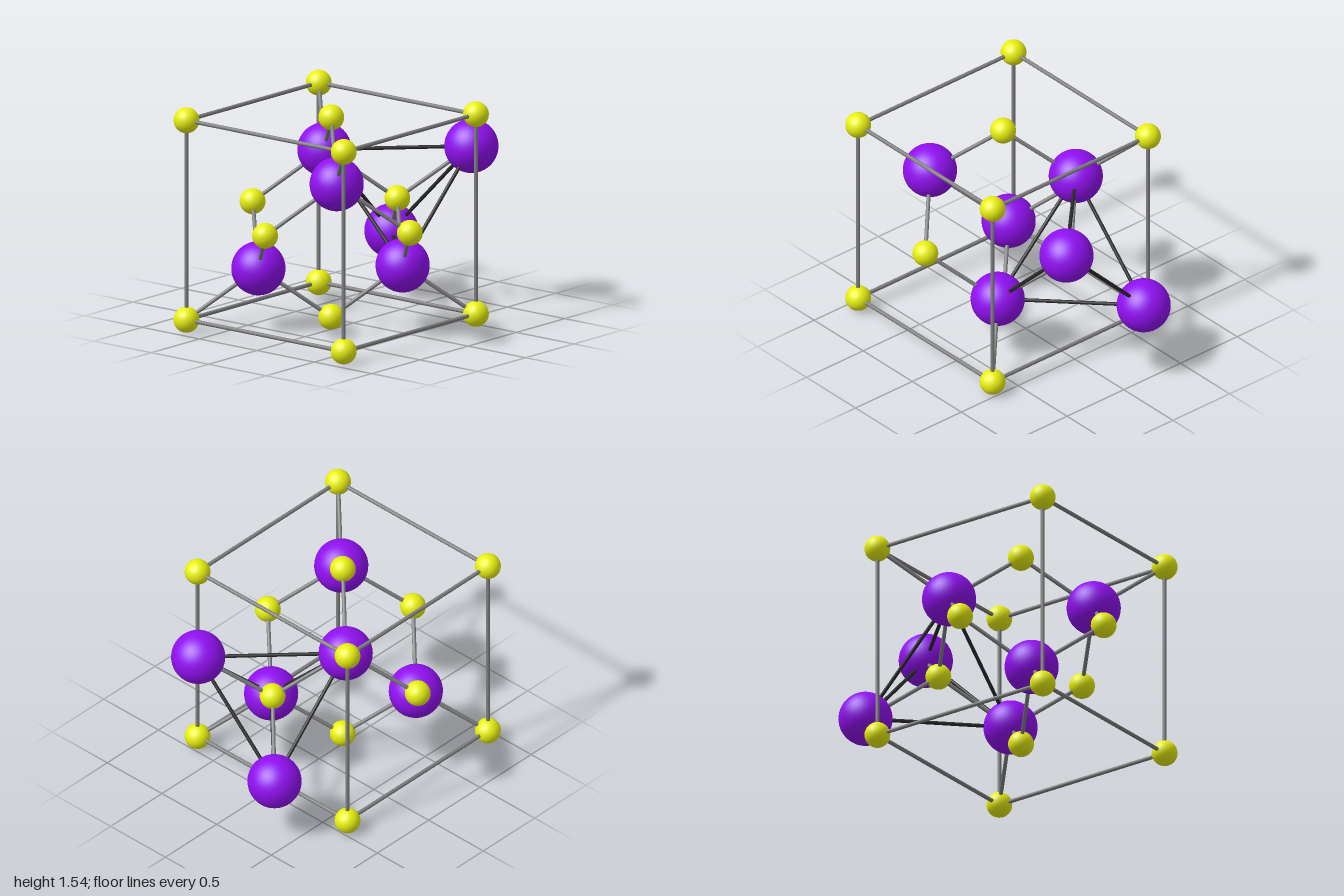
import * as THREE from 'three';

const V = (x, y, z) => new THREE.Vector3(x, y, z);
const mat = (color) => new THREE.MeshStandardMaterial({ color });

export function createModel() {
  const model = new THREE.Group();
  const yellow = mat(0xe8f010), purple = mat(0x9010f0), grey = mat(0x808080), dark = mat(0x2a2a2a);
  const smallBall = new THREE.SphereGeometry(0.0865, 32, 20);
  const largeBall = new THREE.SphereGeometry(0.181, 40, 28);

  function ball(name, geometry, material, position) {
    const mesh = new THREE.Mesh(geometry, material);
    mesh.name = name;
    mesh.position.copy(position);
    model.add(mesh);
  }

  // round rod between two points
  function rod(name, a, b, radius, material) {
    const axis = b.clone().sub(a);
    const mesh = new THREE.Mesh(new THREE.CylinderGeometry(radius, radius, axis.length(), 16), material);
    mesh.name = name;
    mesh.position.copy(a).lerp(b, 0.5);
    mesh.quaternion.setFromUnitVectors(V(0, 1, 0), axis.normalize());
    model.add(mesh);
  }

  // small balls on the corners and face centres of the cubic cell
  const centre = V(-0.23, 0.774, 0), half = 0.685;
  const corners = [], faces = [];
  for (const i of [-1, 0, 1]) for (const j of [-1, 0, 1]) for (const k of [-1, 0, 1]) {
    const n = Math.abs(i) + Math.abs(j) + Math.abs(k);
    const p = V(i, j, k).multiplyScalar(half).add(centre);
    if (n === 3) corners.push(p);
    if (n === 1) faces.push(p);
  }
  corners.forEach((p) => ball('cornerAtom', smallBall, yellow, p));
  faces.forEach((p) => ball('faceAtom', smallBall, yellow, p));

  // twelve edges of the cell
  corners.forEach((a, i) => corners.slice(i + 1).forEach((b) => {
    if (a.distanceTo(b) < half * 2.1) rod('cellEdge', a, b, 0.0135, grey);
  }));

  // large balls: four in the cell, two beside it
  const inner = [
    V(-0.58, 1.12, 0.342), V(-0.573, 0.432, -0.346),
    V(0.111, 1.12, -0.346), V(0.107, 0.432, 0.339),
  ];
  const outer = [V(0.813, 1.12, 0.344), V(0.804, 0.432, -0.345)];
  [...inner, ...outer].forEach((p) => ball('largeAtom', largeBall, purple, p));

  // each inner ball bonds to its four nearest small balls
  inner.forEach((p) => [...corners, ...faces].forEach((q) => {
    if (p.distanceTo(q) < 0.7) rod('bond', p, q, 0.0135, grey);
  }));
  // the outer pair bonds to the shared face centre
  const sharedFace = faces.find((q) => q.x > 0.4);
  outer.forEach((p) => rod('outerBond', p, sharedFace, 0.0135, grey));

  // dark tetrahedron joining the four balls around that face
  const tetra = [inner[2], inner[3], ...outer];
  tetra.forEach((a, i) => tetra.slice(i + 1).forEach((b) => rod('tetrahedronEdge', a, b, 0.0125, dark)));

  return model;
}
